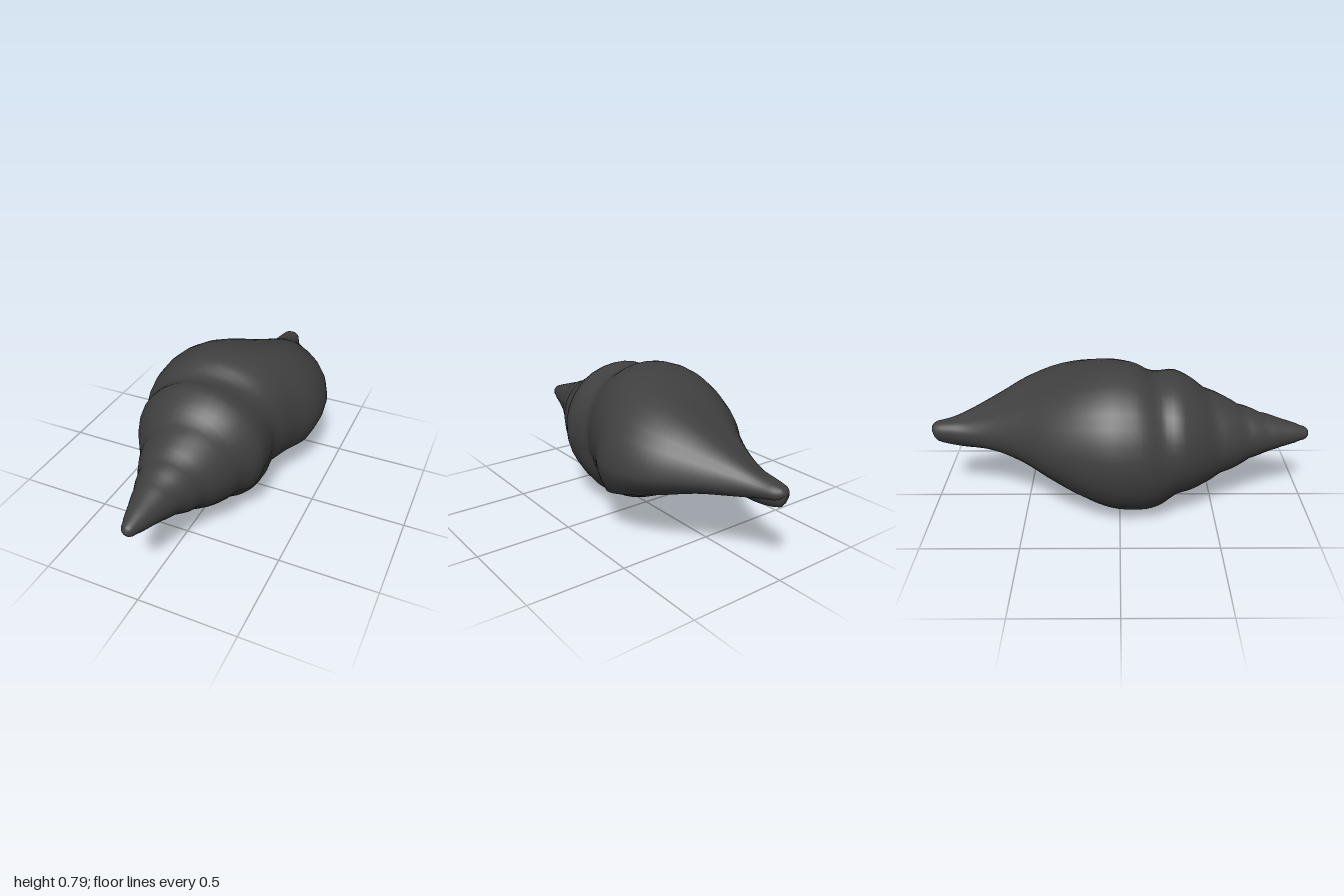
import * as THREE from 'three';

// Smooth curve through (xs, ys)
function curve(xs, ys, x) {
  const n = xs.length;
  let i = 0;
  while (i < n - 2 && x > xs[i + 1]) i++;
  const slope = k => {
    const a = Math.max(k - 1, 0), b = Math.min(k + 1, n - 1);
    return (ys[b] - ys[a]) / (xs[b] - xs[a]);
  };
  const h = xs[i + 1] - xs[i], t = (x - xs[i]) / h, t2 = t * t, t3 = t2 * t;
  return (2 * t3 - 3 * t2 + 1) * ys[i] + (t3 - 2 * t2 + t) * h * slope(i)
    + (3 * t2 - 2 * t3) * ys[i + 1] + (t3 - t2) * h * slope(i + 1);
}

// Radii along z, one row per angle in degrees from the lip edge round to the inner coil
const zKeys = [-1, -0.9, -0.8, -0.65, -0.5, -0.35, -0.2, -0.05, 0.08, 0.2, 0.3, 0.5, 0.7, 0.85, 0.97, 1];
const spire = [0.229, 0.131, 0.077, 0.035, 0];
const whorl = [
  [-34, 0.04, 0.07, 0.12, 0.205, 0.315, 0.4, 0.43, 0.37, 0.338, 0.338, 0.33],
  [0, 0.04, 0.08, 0.14, 0.265, 0.385, 0.445, 0.445, 0.38, 0.335, 0.33, 0.328],
  [45, 0.035, 0.06, 0.11, 0.205, 0.305, 0.37, 0.395, 0.385, 0.355, 0.33, 0.326],
  [90, 0.03, 0.045, 0.065, 0.13, 0.205, 0.28, 0.34, 0.375, 0.365, 0.325, 0.325],
  [135, 0.035, 0.05, 0.065, 0.125, 0.205, 0.295, 0.365, 0.4, 0.39, 0.352, 0.338],
  [180, 0.045, 0.06, 0.08, 0.13, 0.215, 0.325, 0.39, 0.425, 0.413, 0.376, 0.35],
  [225, 0.055, 0.07, 0.09, 0.125, 0.185, 0.275, 0.36, 0.415, 0.42, 0.393, 0.345],
  [270, 0.065, 0.09, 0.1, 0.095, 0.105, 0.165, 0.275, 0.36, 0.405, 0.39, 0.325],
  [315, 0.02, 0.03, 0.04, 0.05, 0.07, 0.135, 0.24, 0.33, 0.365, 0.36, 0.33],
  [345, 0.015, 0.02, 0.03, 0.04, 0.06, 0.12, 0.215, 0.3, 0.335, 0.335, 0.328],
  [405, 0.01, 0.015, 0.02, 0.03, 0.045, 0.09, 0.16, 0.24, 0.3, 0.32, 0.326],
  [440, 0.01, 0.015, 0.02, 0.03, 0.045, 0.08, 0.14, 0.22, 0.28, 0.31, 0.325],
];
const angles = whorl.map(w => w[0]);
const profiles = whorl.map(w => [...w.slice(1), ...spire]);

// How far round the free edge of the lip reaches along z
const lipZ = [-1, -0.9, -0.8, -0.65, -0.5, -0.35, -0.2, -0.05, 0.05, 0.1, 1];
const lipReach = [34, 32, 25, 20, 19, 20, 23, 29, 34, 34, 34];

// Spiral groove between whorls, tightening toward the apex
function suture(deg, z) {
  const turns = Math.log(Math.max(0.97 - z, 0.01) / 0.89) / Math.log(0.65) - deg / 360;
  const d = turns - Math.round(turns);
  const fade = THREE.MathUtils.smoothstep(z, 0, 0.15) * (1 - THREE.MathUtils.smoothstep(z, 0.7, 0.88));
  return 1 + fade * (0.01 - 0.05 * Math.exp(-((d / 0.19) ** 2)));
}

function createShell(material) {
  // Columns: inside of the lip, its rounded rim, then once round and in under the lip
  const columns = [];
  for (let d = 76; d > -30; d -= 10) columns.push([d, 0.92]);
  columns.push([-34, 0.93], [-36, 0.965]);
  for (let d = -34; d <= 440; d += 11) {
    columns.push([d, 1 - 0.03 * THREE.MathUtils.smoothstep(d, 326, 370)]);
  }
  const rows = [-1, -0.996, -0.985];
  for (let z = -0.97; z < 0.92; z += 0.03) rows.push(z);
  rows.push(0.93, 0.955, 0.975, 0.988, 0.996, 1);

  const positions = [], index = [], n = columns.length;
  rows.forEach((z, j) => {
    const radii = profiles.map(p => curve(zKeys, p, z));
    const reach = curve(lipZ, lipReach, z) / 34;
    const cx = -0.015 - 0.015 * z;
    const cy = 0.41 - 0.01 * z - 0.016 * Math.exp(-(((z - 0.52) / 0.18) ** 2));
    // round the apex and the tail tip
    const cap = Math.sqrt(Math.max(0, 1 - (Math.max(0, z - 0.95) / 0.05) ** 2));
    const tail = Math.sqrt(Math.max(0, 1 - (Math.max(0, -0.96 - z) / 0.04) ** 2));
    columns.forEach(([deg, scale], i) => {
      const base = z > 0.95 ? 0.041 * cap : tail * curve(angles, radii, Math.max(deg, -34));
      const turned = deg < 0 ? deg * reach : deg;
      const r = base * scale * suture(turned, z);
      const a = THREE.MathUtils.degToRad(turned);
      positions.push(cx + r * Math.cos(a), cy + r * Math.sin(a), z);
      if (i < n - 1 && j < rows.length - 1) {
        const k = j * n + i;
        index.push(k, k + 1, k + n + 1, k, k + n + 1, k + n);
      }
    });
  });
  const geometry = new THREE.BufferGeometry();
  geometry.setAttribute('position', new THREE.Float32BufferAttribute(positions, 3));
  geometry.setIndex(index);
  geometry.computeVertexNormals();
  const mesh = new THREE.Mesh(geometry, material);
  mesh.name = 'spiralShell';
  return mesh;
}

export function createModel() {
  const group = new THREE.Group();
  group.name = 'seaShell';
  const material = new THREE.MeshStandardMaterial({ color: 0x404040, side: THREE.DoubleSide });
  group.add(createShell(material));
  return group;
}
